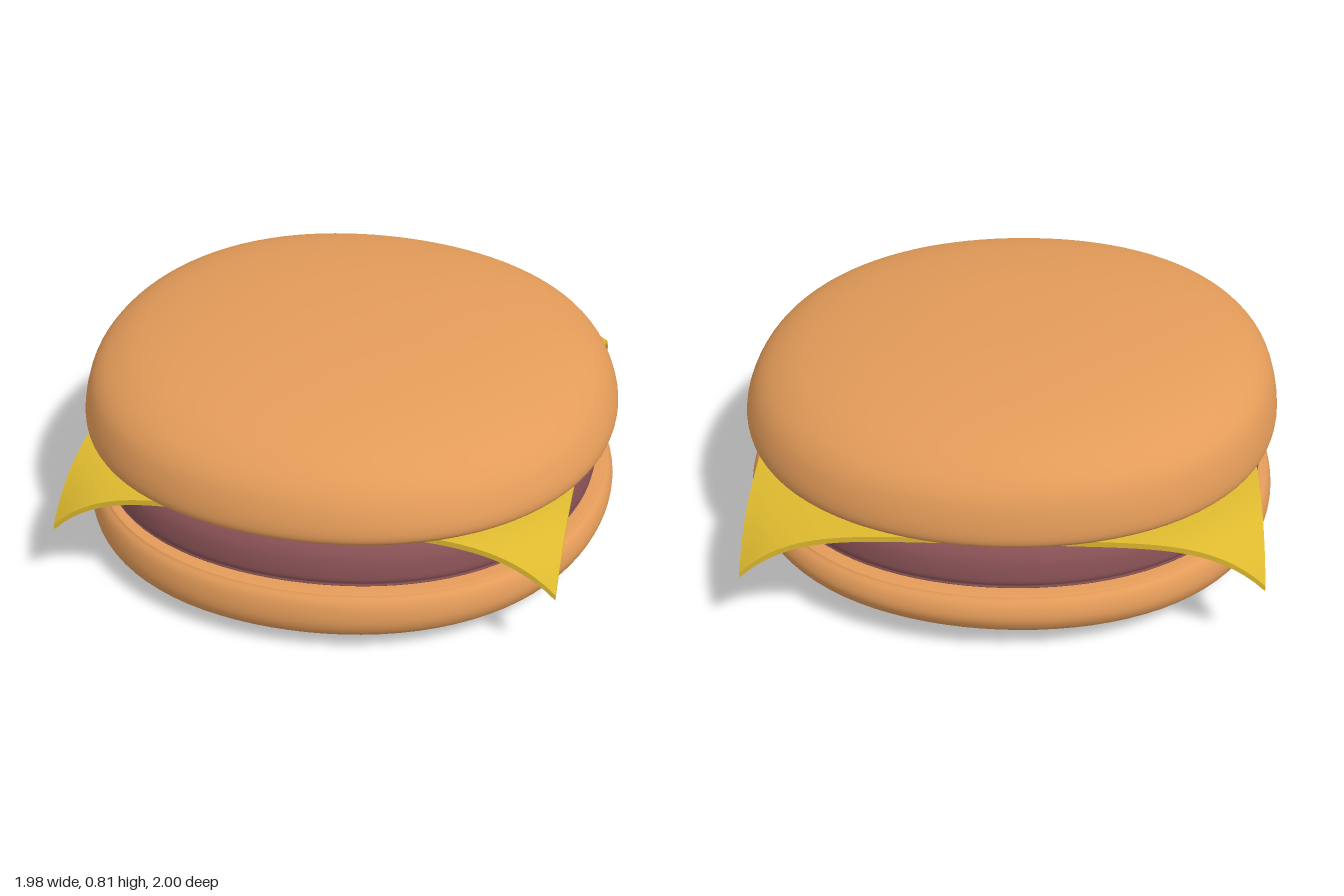
import * as THREE from 'three';
import { mergeVertices } from 'three/addons/utils/BufferGeometryUtils.js';

const mat = (color) => new THREE.MeshStandardMaterial({ color });
const BUN = mat(0xe39b59), MEAT = mat(0x8a5256), CHEESE = mat(0xddb92f);

// Smooth round layer from a bottom-to-top profile, then shaped by a vertex rule
function layer(name, profile, material, rule) {
  const curve = new THREE.SplineCurve(profile.map(([r, y]) => new THREE.Vector2(r, y)));
  const pts = curve.getPoints(56);
  pts.forEach((p) => { p.x = Math.max(p.x, 0); });
  let geo = new THREE.LatheGeometry(pts, 96);
  geo.deleteAttribute('uv');
  geo.deleteAttribute('normal');
  const pos = geo.attributes.position;
  const v = new THREE.Vector3();
  for (let i = 0; i < pos.count; i++) {
    v.fromBufferAttribute(pos, i);
    // slightly squared outline, fuller on the diagonals
    const s = 1 + 0.025 * Math.sin(2 * Math.atan2(v.z, v.x)) ** 2;
    v.x *= s;
    v.z *= s;
    rule(v);
    pos.setXYZ(i, v.x, v.y, v.z);
  }
  geo = mergeVertices(geo, 1e-4);
  geo.computeVertexNormals();
  const mesh = new THREE.Mesh(geo, material);
  mesh.name = name;
  return mesh;
}

// Square slice whose corners droop with distance from the middle
function cheeseSlice() {
  const geo = new THREE.BoxGeometry(1.76, 0.02, 1.76, 48, 1, 48);
  const pos = geo.attributes.position;
  for (let i = 0; i < pos.count; i++) {
    const t = Math.max(0, (Math.hypot(pos.getX(i), pos.getZ(i)) - 0.9) / 0.345);
    pos.setY(i, pos.getY(i) - 0.165 * t ** 3);
  }
  geo.computeVertexNormals();
  const mesh = new THREE.Mesh(geo, CHEESE);
  mesh.name = 'cheeseSlice';
  mesh.position.set(0, 0.425, -0.04);
  return mesh;
}

export function createModel() {
  const group = new THREE.Group();
  group.name = 'cheeseburger';
  const { smoothstep } = THREE.MathUtils;

  // Bottom bun: flat top, softly rounded underside that tilts a little
  group.add(layer('bottomBun', [
    [0, 0.005], [0.35, 0.008], [0.65, 0.018], [0.85, 0.04], [0.95, 0.075],
    [0.986, 0.125], [0.985, 0.18], [0.96, 0.222], [0.9, 0.235], [0.5, 0.236], [0, 0.236],
  ], BUN, (v) => {
    const w = 1 - smoothstep(v.y, 0.1, 0.23);
    v.y = Math.max(0, v.y + w * (0.015 * v.x - 0.016 * v.z));
    v.z *= 1.01;
  }));

  // Patty
  group.add(layer('patty', [
    [0, 0.232], [0.5, 0.232], [0.88, 0.234], [0.923, 0.25], [0.928, 0.29],
    [0.915, 0.35], [0.88, 0.395], [0.82, 0.414], [0.5, 0.416], [0, 0.416],
  ], MEAT, (v) => {
    v.x -= 0.008;
  }));

  group.add(cheeseSlice());

  // Top bun: flat underside and a low dome leaning slightly to one side
  group.add(layer('topBun', [
    [0, 0.432], [0.5, 0.432], [0.9, 0.435], [0.965, 0.447], [0.984, 0.48],
    [0.972, 0.55], [0.94, 0.62], [0.88, 0.676], [0.78, 0.724], [0.6, 0.768],
    [0.35, 0.8], [0.12, 0.811], [0, 0.812],
  ], BUN, (v) => {
    const w = smoothstep(v.y, 0.45, 0.62);
    v.y -= w * (0.026 * v.x + 0.012 * v.z);
    v.z *= 1.012;
  }));

  return group;
}
